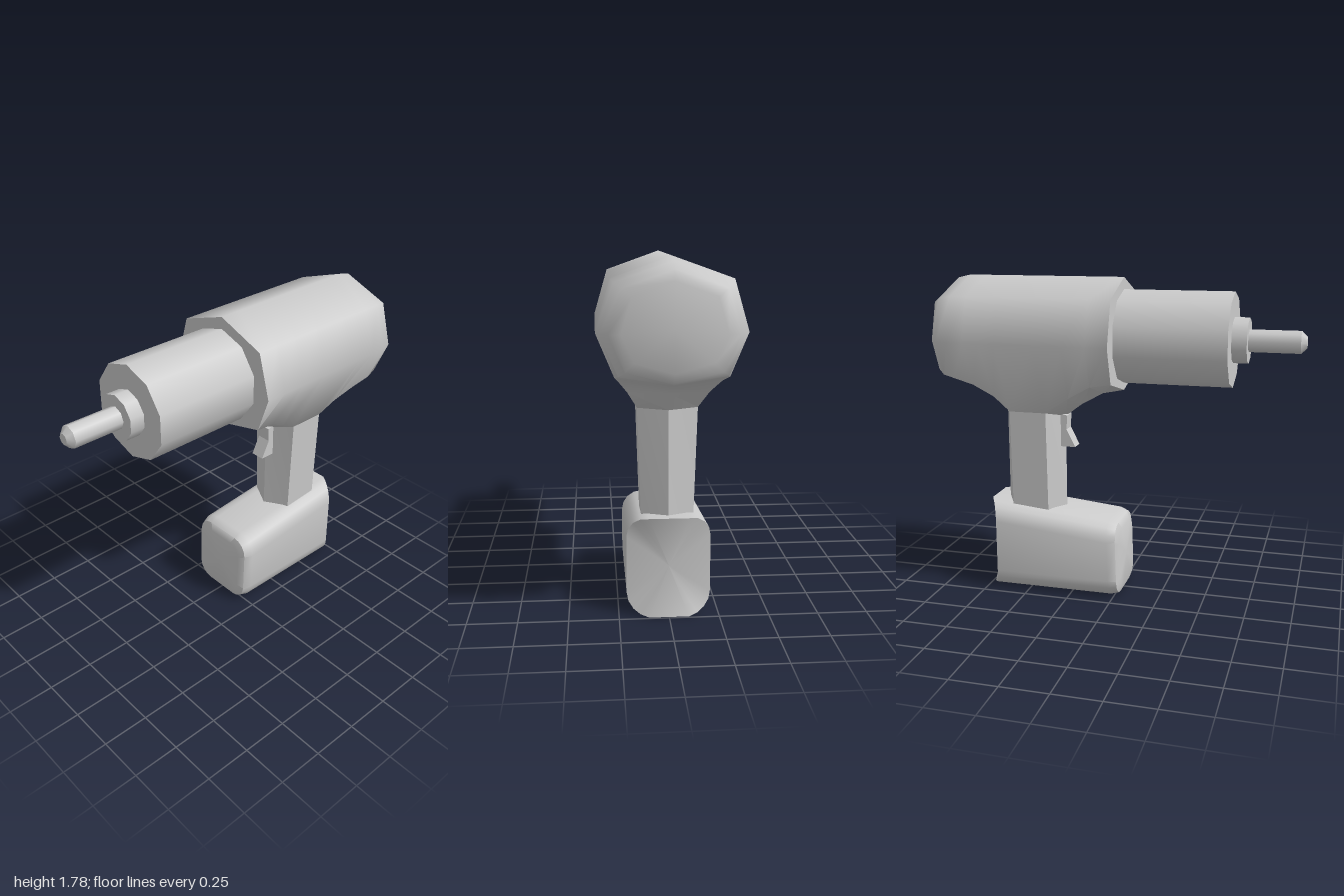
import * as THREE from 'three';
import { toCreasedNormals } from 'three/addons/utils/BufferGeometryUtils.js';

const material = new THREE.MeshStandardMaterial({ color: 0xcccccc });

function addMesh(group, name, geometry) {
  const mesh = new THREE.Mesh(geometry, material);
  mesh.name = name;
  group.add(mesh);
  return mesh;
}

// Skin a list of rings (each a loop of [x, y, z]) and cap both ends
function loft(rings, crease) {
  const n = rings[0].length, last = rings.length - 1;
  const pos = rings.flat(2), index = [];
  for (let i = 0; i < last; i++) {
    for (let j = 0; j < n; j++) {
      const k = (j + 1) % n;
      const a = i * n + j, b = i * n + k, c = a + n, d = b + n;
      index.push(a, b, c, b, d, c);
    }
  }
  for (const r of [0, last]) {
    const centre = pos.length / 3;
    for (let axis = 0; axis < 3; axis++) {
      pos.push(rings[r].reduce((sum, p) => sum + p[axis], 0) / n);
    }
    for (let j = 0; j < n; j++) {
      const a = r * n + j, b = r * n + (j + 1) % n;
      if (r === 0) index.push(centre, b, a);
      else index.push(centre, a, b);
    }
  }
  const g = new THREE.BufferGeometry();
  g.setAttribute('position', new THREE.Float32BufferAttribute(pos, 3));
  g.setIndex(index);
  return toCreasedNormals(g, crease);
}

// Eight-sided housing section: scaled upper half, free lower and bottom points
function housingRing([x, s, lowX, lowY, lowZ, botX, botY]) {
  const y = (v) => 1.46 + (v - 1.46) * s;
  const half = [[x, y(1.68), 0.28 * s], [x, y(1.44), 0.35 * s], [lowX, lowY, lowZ]];
  const mirrored = half.map(([px, py, pz]) => [px, py, -pz]).reverse();
  return [[x, y(1.78), 0], ...half, [botX, botY, 0], ...mirrored];
}

// Rounded rectangle in the y-z plane; xAt gives x for each point
function roundedRing(y0, y1, halfZ, r, xAt) {
  const ring = [];
  const corners = [[y1 - r, halfZ - r], [y0 + r, halfZ - r], [y0 + r, r - halfZ], [y1 - r, r - halfZ]];
  corners.forEach(([cy, cz], q) => {
    for (let i = 0; i <= 4; i++) {
      const a = (q + i / 4) * Math.PI / 2;
      const y = cy + r * Math.cos(a), z = cz + r * Math.sin(a);
      ring.push([xAt(y, z), y, z]);
    }
  });
  return ring;
}

export function createModel() {
  const model = new THREE.Group();
  model.name = 'cordlessDriver';

  // Motor housing flowing down into the neck of the grip
  const stations = [
    [-0.02, 1, -0.02, 1.24, 0.28, -0.02, 1.165],
    [0.10, 1, 0.10, 1.22, 0.265, 0.10, 1.14],
    [0.23, 1, 0.24, 1.14, 0.215, 0.22, 1.075],
    [0.39, 1, 0.39, 1.04, 0.15, 0.32, 1.0],
    [0.60, 1, 0.60, 1.04, 0.15, 0.67, 1.04],
    [0.69, 1, 0.67, 1.13, 0.20, 0.72, 1.13],
    [0.78, 1, 0.77, 1.20, 0.245, 0.80, 1.175],
    [0.87, 1, 0.87, 1.235, 0.265, 0.88, 1.195],
    [0.94, 0.95, 0.94, 1.25, 0.25, 0.94, 1.21],
    [0.98, 0.84, 0.98, 1.275, 0.22, 0.975, 1.222],
    [1.0, 0.68, 1.0, 1.32, 0.18, 1.0, 1.27],
  ];
  addMesh(model, 'motorHousing', loft(stations.map(housingRing), 0.97));

  // Barrel, collar, shaft and tapered tip along -x
  const turned = [
    ['barrel', -0.62, 0.0, 0.255, 0.255, 10],
    ['collar', -0.70, -0.61, 0.122, 0.122, 10],
    ['shaft', -0.97, -0.69, 0.06, 0.06, 8],
    ['shaftTip', -1.0, -0.97, 0.03, 0.06, 8],
  ];
  for (const [name, x0, x1, rFront, rBack, sides] of turned) {
    const g = new THREE.CylinderGeometry(rFront, rBack, x1 - x0, sides, 1, false, Math.PI / 2);
    g.rotateZ(Math.PI / 2);
    addMesh(model, name, g).position.set((x0 + x1) / 2, 1.46, 0);
  }

  // Six-sided grip, slightly narrower at the base
  const gripRing = (z, y, noseY) => [
    [0.32, noseY, 0], [0.39, y, z], [0.60, y, z],
    [0.67, y, 0], [0.60, y, -z], [0.39, y, -z],
  ];
  addMesh(model, 'grip', loft([gripRing(0.13, 0.42, 0.42), gripRing(0.15, 1.04, 1.0)], 0.6));

  // Trigger
  const outline = [[0.34, 0.83], [0.34, 1.02], [0.30, 1.01], [0.305, 0.93], [0.255, 0.83]];
  const trigger = new THREE.ExtrudeGeometry(
    new THREE.Shape(outline.map(([x, y]) => new THREE.Vector2(x, y))),
    { depth: 0.08, bevelEnabled: false },
  );
  trigger.translate(0, 0, -0.04);
  addMesh(model, 'trigger', trigger);

  // Battery: rounded nose, sloping top, bevelled back
  const lean = (x) => (y) => x + 0.03 * (y - 0.05);
  const backX = (y, z) => 0.74 - 0.06 * Math.max(0, (Math.abs(z) - 0.1) / 0.11);
  const battery = [
    roundedRing(0.045, 0.385, 0.15, 0.07, lean(-0.04)),
    roundedRing(0.012, 0.425, 0.19, 0.09, lean(-0.025)),
    roundedRing(0, 0.445, 0.21, 0.11, lean(0.02)),
    roundedRing(0, 0.515, 0.21, 0.11, backX),
  ];
  addMesh(model, 'battery', loft(battery, 0.8));

  return model;
}
